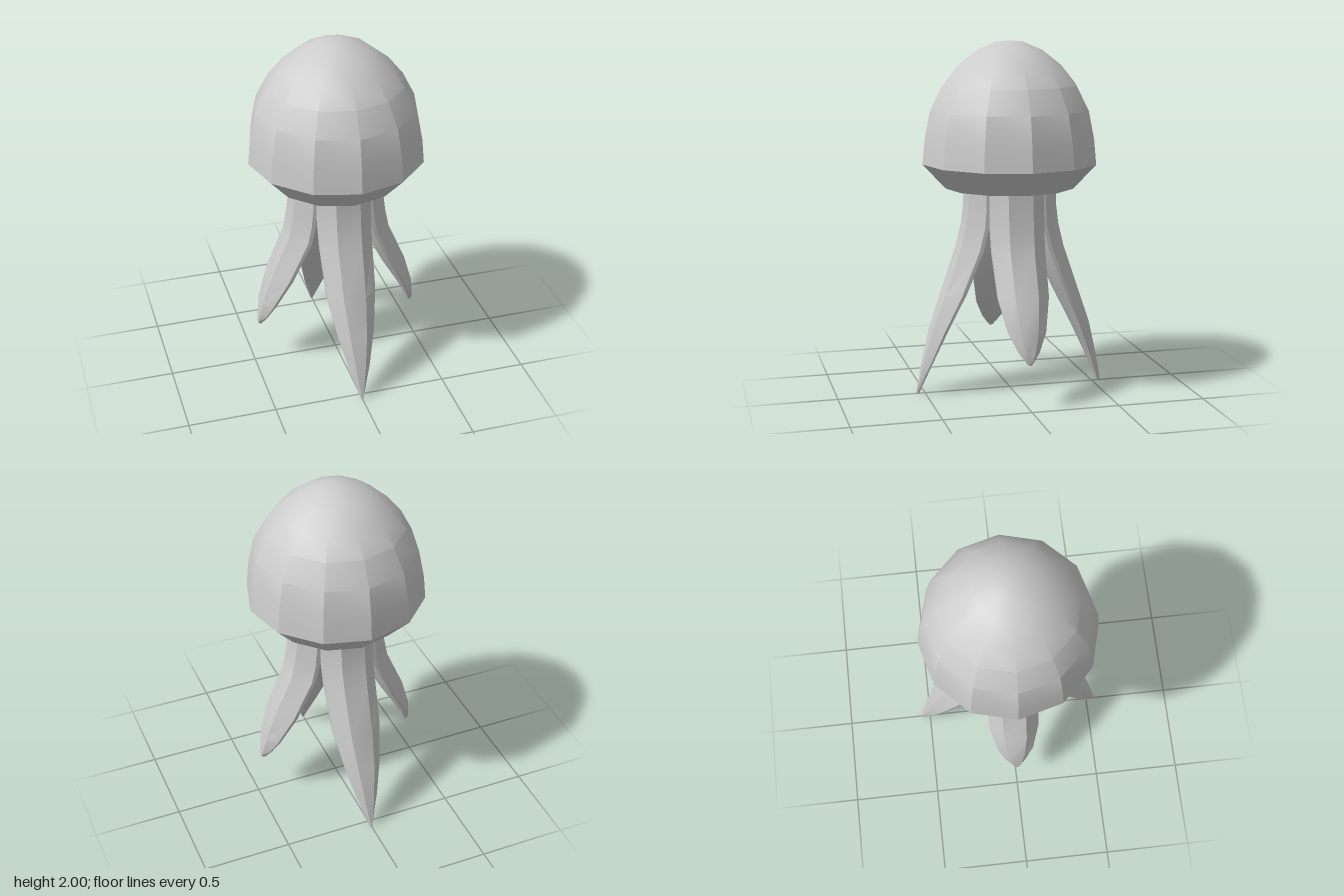
import * as THREE from 'three';
import { toCreasedNormals } from 'three/addons/utils/BufferGeometryUtils.js';

// Half-outline of a tentacle slice: [share of half width, share of thickness from the outer face]
const SLICE = [[-0.45, 0], [0.45, 0], [1, 0.62], [1, 0.78], [0.45, 1], [-0.45, 1], [-1, 0.78], [-1, 0.62]];

// Rows from top to tip: [height, outer distance, inner distance, half width]
const LONG = [
  [1.22, 0.25, 0.12, 0.155], [1.08, 0.255, 0.12, 0.155], [0.97, 0.268, 0.125, 0.155],
  [0.84, 0.3, 0.155, 0.153], [0.58, 0.39, 0.265, 0.143], [0.37, 0.465, 0.37, 0.108],
  [0.18, 0.513, 0.457, 0.062], [0.03, 0.546, 0.522, 0.016], [0, 0.55, 0.535, 0.006],
];
const SHORT = [
  [1.22, 0.25, 0.12, 0.155], [1.08, 0.258, 0.12, 0.155], [0.95, 0.275, 0.128, 0.155],
  [0.84, 0.297, 0.15, 0.153], [0.6, 0.4, 0.265, 0.145], [0.42, 0.455, 0.37, 0.105],
  [0.32, 0.469, 0.422, 0.058], [0.275, 0.475, 0.445, 0.025], [0.257, 0.472, 0.452, 0.01],
];

// Lofts the slices into a closed tentacle that hangs on the +z side
function tentacleGeometry(rows) {
  const n = SLICE.length, pos = [], index = [];
  for (const [y, outer, inner, w] of rows) {
    for (const [u, t] of SLICE) pos.push(u * w, y, outer + (inner - outer) * t);
  }
  for (let r = 0; r < rows.length - 1; r++) {
    for (let i = 0; i < n; i++) {
      const a = r * n + i, b = r * n + (i + 1) % n;
      index.push(a, a + n, b, b, a + n, b + n);
    }
  }
  const last = (rows.length - 1) * n;
  for (let i = 1; i < n - 1; i++) {
    index.push(0, i, i + 1, last, last + i + 1, last + i);
  }
  const g = new THREE.BufferGeometry();
  g.setAttribute('position', new THREE.Float32BufferAttribute(pos, 3));
  g.setIndex(index);
  return toCreasedNormals(g, 0.75);
}

export function createModel() {
  const model = new THREE.Group();
  model.name = 'jellyfish';
  const skin = new THREE.MeshStandardMaterial({ color: 0xcccccc });
  skin.name = 'pale grey';

  // Twelve-sided bell with a bevelled rim and flat underside
  const profile = [
    [0, 1.18], [0.37, 1.18], [0.5, 1.32], [0.487, 1.46], [0.455, 1.62], [0.385, 1.755],
    [0.3, 1.86], [0.19, 1.945], [0.08, 1.993], [0, 2],
  ].map(([x, y]) => new THREE.Vector2(x, y));
  const bell = new THREE.Mesh(toCreasedNormals(new THREE.LatheGeometry(profile, 12), 0.47), skin);
  bell.name = 'bell';
  model.add(bell);

  // Long tentacles at front and back, short ones at the sides
  const long = tentacleGeometry(LONG), short = tentacleGeometry(SHORT);
  ['frontTentacle', 'leftTentacle', 'backTentacle', 'rightTentacle'].forEach((name, i) => {
    const tentacle = new THREE.Mesh(i % 2 ? short : long, skin);
    tentacle.name = name;
    tentacle.rotation.y = i * Math.PI / 2;
    model.add(tentacle);
  });
  return model;
}
